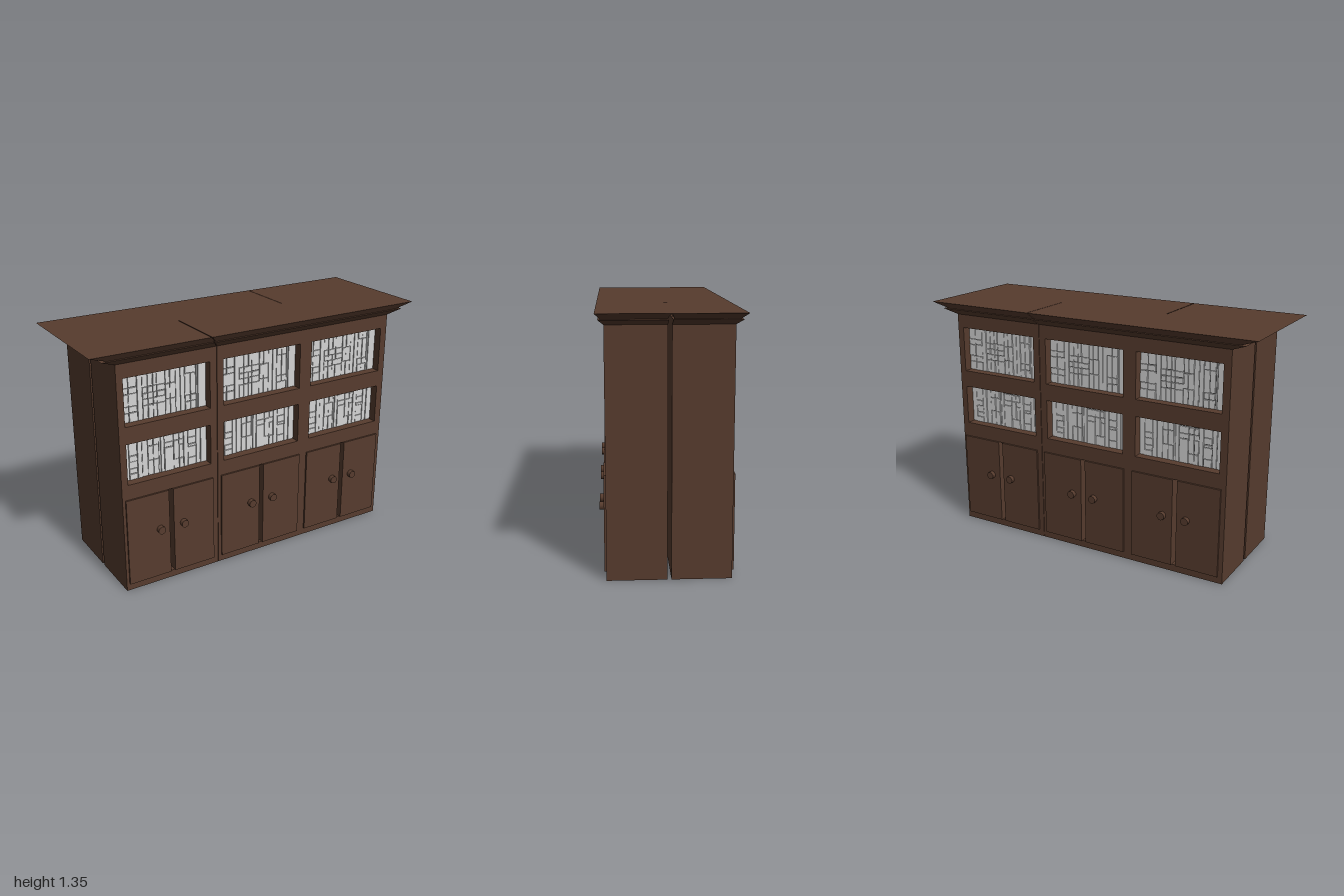
import * as THREE from 'three';
import { mergeGeometries } from 'three/addons/utils/BufferGeometryUtils.js';

const wood = new THREE.MeshStandardMaterial({ color: 0x573c2e });
wood.name = 'brown wood';
const paper = new THREE.MeshStandardMaterial({ color: 0xd4d4d4 });
paper.name = 'pale book spines';
const shade = new THREE.MeshStandardMaterial({ color: 0x858585 });
shade.name = 'grey shelf backing';

const BACK = 0.01, RECESS = 0.26, FRONT = 0.315, TOP = 1.28;
const BAYS = [-0.5715, 0, 0.567];          // centres of the shelf openings
const DOORS = [-0.577, -0.005, 0.567];     // centres of the door pairs
const OPEN_HALF = 0.245;
const ROWS = [[0.945, 1.203], [0.624, 0.85]];

// Book columns: [left, right, cuts measured from the top], 91 units per shelf
const fifths = [0.28, 0.41, 0.67, 0.8], stack = [0.33, 0.46, 0.58, 0.71];
const BOOKS = [
  [[0, 8.5, fifths], [8.5, 17.5, fifths], [17.5, 23], [23, 28.5, stack], [28.5, 34, stack],
    [34, 38, stack], [38, 47, stack], [47, 52, [0.35, 0.67]], [52, 58, [0.35, 0.67]], [58, 63],
    [63, 68], [68, 74, [0.22, 0.68, 0.82]], [74, 80, [0.22, 0.68, 0.82]], [80, 82], [82, 91]],
  [[0, 6], [6, 15, [0.4, 0.55, 0.72, 0.85]], [15, 20], [20, 26], [26, 32, [0.26, 0.62]],
    [32, 38, [0.26, 0.62]], [38, 40], [40, 44], [44, 54, [0.1, 0.27, 0.4]], [54, 60, [0.1, 0.27, 0.75]],
    [60, 65, [0.1, 0.27, 0.4, 0.75]], [65, 70], [70, 79, [0.28, 0.45, 0.52, 0.8]], [79, 84], [84, 91]],
];

function add(group, name, geometry, material = wood) {
  const mesh = new THREE.Mesh(geometry, material);
  mesh.name = name;
  group.add(mesh);
  return mesh;
}

function boxBetween(x0, x1, y0, y1, z0, z1) {
  return new THREE.BoxGeometry(x1 - x0, y1 - y0, z1 - z0)
    .translate((x0 + x1) / 2, (y0 + y1) / 2, (z0 + z1) / 2);
}

// Box whose bottom and top rectangles differ: each is [x0, x1, z0, z1]
function flare(bottom, top, y0, y1) {
  const g = new THREE.BoxGeometry(1, 1, 1).toNonIndexed();
  const p = g.attributes.position;
  for (let i = 0; i < p.count; i++) {
    const up = p.getY(i) > 0, r = up ? top : bottom;
    p.setXYZ(i, p.getX(i) > 0 ? r[1] : r[0], up ? y1 : y0, p.getZ(i) > 0 ? r[3] : r[2]);
  }
  g.computeVertexNormals();
  return g;
}

function rectPath(path, x0, x1, y0, y1) {
  path.moveTo(x0, y0);
  path.lineTo(x1, y0);
  path.lineTo(x1, y1);
  path.lineTo(x0, y1);
  path.closePath();
  return path;
}

// Cabinet carcass, pierced face frame and flared crown for one unit
function cabinet(x0, x1, bays) {
  const g = new THREE.Group();
  g.name = 'cabinet';
  add(g, 'carcass', boxBetween(x0, x1, 0, TOP, BACK, RECESS));

  const face = rectPath(new THREE.Shape(), x0, x1, 0, TOP);
  for (const b of bays) {
    for (const [y0, y1] of ROWS)
      face.holes.push(rectPath(new THREE.Path(), BAYS[b] - OPEN_HALF, BAYS[b] + OPEN_HALF, y0, y1));
    face.holes.push(rectPath(new THREE.Path(), DOORS[b] - 0.013, DOORS[b] + 0.013, 0.04, 0.54));
  }
  const frame = new THREE.ExtrudeGeometry(face, { depth: FRONT - RECESS, bevelEnabled: false });
  add(g, 'faceFrame', frame.translate(0, 0, RECESS));

  const span = (half) => [x0 * half / 0.853, x1 * half / 0.853];
  add(g, 'lowerCrown', flare([...span(0.853), BACK, FRONT], [...span(0.933), BACK, 0.342], TOP, 1.31));
  add(g, 'upperCrown', flare([...span(0.9), 0.018, 0.33], [...span(1), 0, 0.356], 1.31, 1.345));
  return g;
}

// One shelf of upright and stacked books
function shelfBooks(centre, row) {
  const g = new THREE.Group();
  g.name = 'bookShelf';
  const [y0, y1] = ROWS[row], left = centre - OPEN_HALF, unit = OPEN_HALF * 2 / 91, gap = 0.002;
  add(g, 'shelfBacking', boxBetween(left, left + 91 * unit, y0, y1, RECESS, RECESS + 0.002), shade);
  const parts = [];
  BOOKS[row].forEach(([a, b, cuts = []], i) => {
    const edges = [0, ...cuts, 1];
    for (let k = 0; k < edges.length - 1; k++) {
      const top = y1 - edges[k] * (y1 - y0), low = y1 - edges[k + 1] * (y1 - y0);
      parts.push(boxBetween(left + a * unit + gap, left + b * unit - gap, low + gap, top - gap,
        RECESS, RECESS + 0.006 + 0.002 * ((i + k) % 3)));
    }
  });
  add(g, 'books', mergeGeometries(parts), paper);
  return g;
}

// Two doors with round knobs either side of the groove
function doorPair(centre) {
  const g = new THREE.Group();
  g.name = 'doorPair';
  for (const s of [-1, 1]) {
    const inner = centre + s * 0.013, outer = centre + s * 0.26;
    add(g, 'door', boxBetween(Math.min(inner, outer), Math.max(inner, outer), 0.04, 0.54, FRONT, 0.325));
    const knob = new THREE.CylinderGeometry(0.022, 0.022, 0.024, 10).rotateX(Math.PI / 2);
    add(g, 'doorKnob', knob.translate(centre + s * 0.07, 0.325, 0.337));
  }
  return g;
}

// A complete bookcase facing +z: one single unit beside one double unit
function bookcase(name) {
  const g = new THREE.Group();
  g.name = name;
  g.add(cabinet(-0.853, -0.287, [0]), cabinet(-0.284, 0.853, [1, 2]));
  BAYS.forEach((x, i) => {
    g.add(shelfBooks(x, 0), shelfBooks(x, 1), doorPair(DOORS[i]));
  });
  return g;
}

export function createModel() {
  const model = new THREE.Group();
  model.name = 'doubleSidedBookcase';
  const back = bookcase('backBookcase');
  back.rotation.y = Math.PI;
  model.add(bookcase('frontBookcase'), back);
  return model;
}
